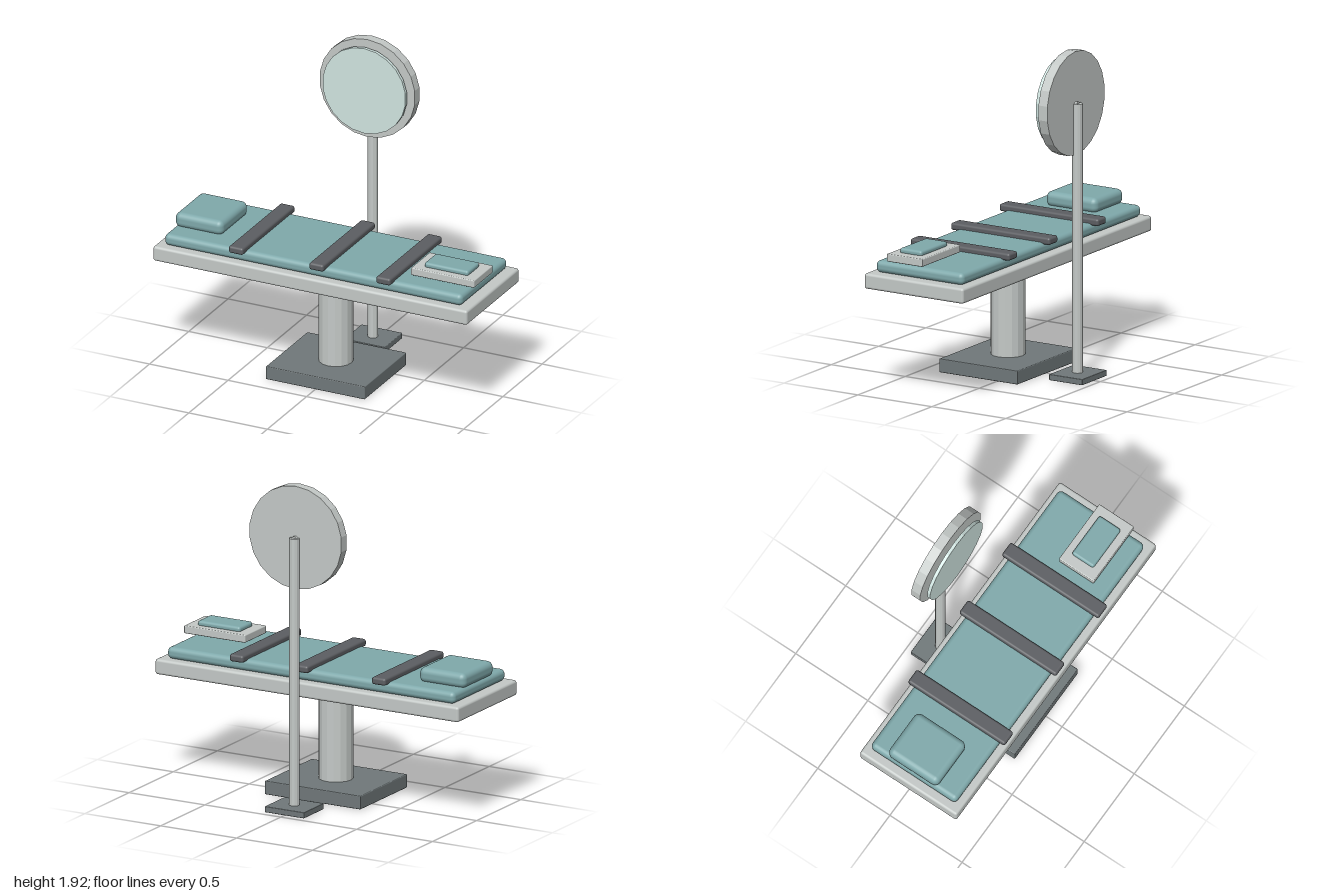
import * as THREE from 'three';
import { RoundedBoxGeometry } from 'three/addons/geometries/RoundedBoxGeometry.js';

const paint = (color, flatShading = false) => new THREE.MeshStandardMaterial({ color, flatShading });

export function createModel() {
  const model = new THREE.Group();
  const metal = paint(0xc4c9c7);
  const facetedMetal = paint(0xc4c9c7, true);
  const darkMetal = paint(0x70787a);
  const cushion = paint(0x7fa9ab);
  const webbing = paint(0x5c5e62);
  const glass = paint(0xd0e4e0, true);

  const add = (parent, name, geometry, material, x, y, z) => {
    const mesh = new THREE.Mesh(geometry, material);
    mesh.name = name;
    mesh.position.set(x, y, z);
    parent.add(mesh);
    return mesh;
  };
  // Box given by its limits on each axis; a radius rounds the edges
  const block = (parent, name, material, [x0, x1], [y0, y1], [z0, z1], radius = 0) => {
    const size = [x1 - x0, y1 - y0, z1 - z0];
    const geometry = radius
      ? new RoundedBoxGeometry(...size, 3, radius)
      : new THREE.BoxGeometry(...size);
    return add(parent, name, geometry, material, (x0 + x1) / 2, (y0 + y1) / 2, (z0 + z1) / 2);
  };
  const section = (name) => {
    const group = new THREE.Group();
    group.name = name;
    model.add(group);
    return group;
  };

  // Pedestal and padded table
  const table = section('table');
  const tableZ = [-0.21, 0.46];
  block(table, 'pedestalBase', darkMetal, [-0.315, 0.315], [0, 0.08], [-0.14, 0.39], 0.005);
  add(table, 'pedestalColumn', new THREE.CylinderGeometry(0.1, 0.1, 0.5, 16), facetedMetal, 0, 0.325, 0.125);
  block(table, 'supportPlate', metal, [-0.56, 0.56], [0.58, 0.632], [-0.045, 0.3]);
  block(table, 'tableTop', metal, [-1, 1], [0.63, 0.72], tableZ, 0.015);
  block(table, 'mattress', cushion, [-0.95, 0.945], [0.72, 0.79], [-0.172, 0.42], 0.028);
  block(table, 'pillow', cushion, [-0.95, -0.645], [0.78, 0.87], [-0.055, 0.29], 0.035);
  for (const x of [-0.473, 0.039, 0.465]) {
    block(table, 'strap', webbing, [x - 0.046, x + 0.046], [0.777, 0.82], tableZ, 0.014);
  }

  // Small tray with a folded pad
  const tray = section('tray');
  block(tray, 'trayPlate', metal, [0.573, 0.977], [0.804, 0.85], [0.08, 0.32], 0.006);
  block(tray, 'trayPad', cushion, [0.635, 0.915], [0.842, 0.877], [0.125, 0.275], 0.015);

  // Round lamp on its own stand
  const lamp = section('lamp');
  block(lamp, 'lampBase', darkMetal, [-0.13, 0.13], [0, 0.035], [-0.46, -0.235], 0.004);
  add(lamp, 'lampPole', new THREE.CylinderGeometry(0.03, 0.03, 1.585, 12), facetedMetal, 0, 0.8225, -0.345);
  const disc = (name, radius, depth, material, y, z) => {
    add(lamp, name, new THREE.CylinderGeometry(radius, radius, depth, 22), material, 0, y, z).rotation.x = Math.PI / 2;
  };
  disc('lampHousing', 0.305, 0.06, facetedMetal, 1.615, -0.304);
  disc('lampLens', 0.265, 0.02, glass, 1.615, -0.242);
  disc('lampMount', 0.025, 0.02, facetedMetal, 1.6, -0.34);

  return model;
}
